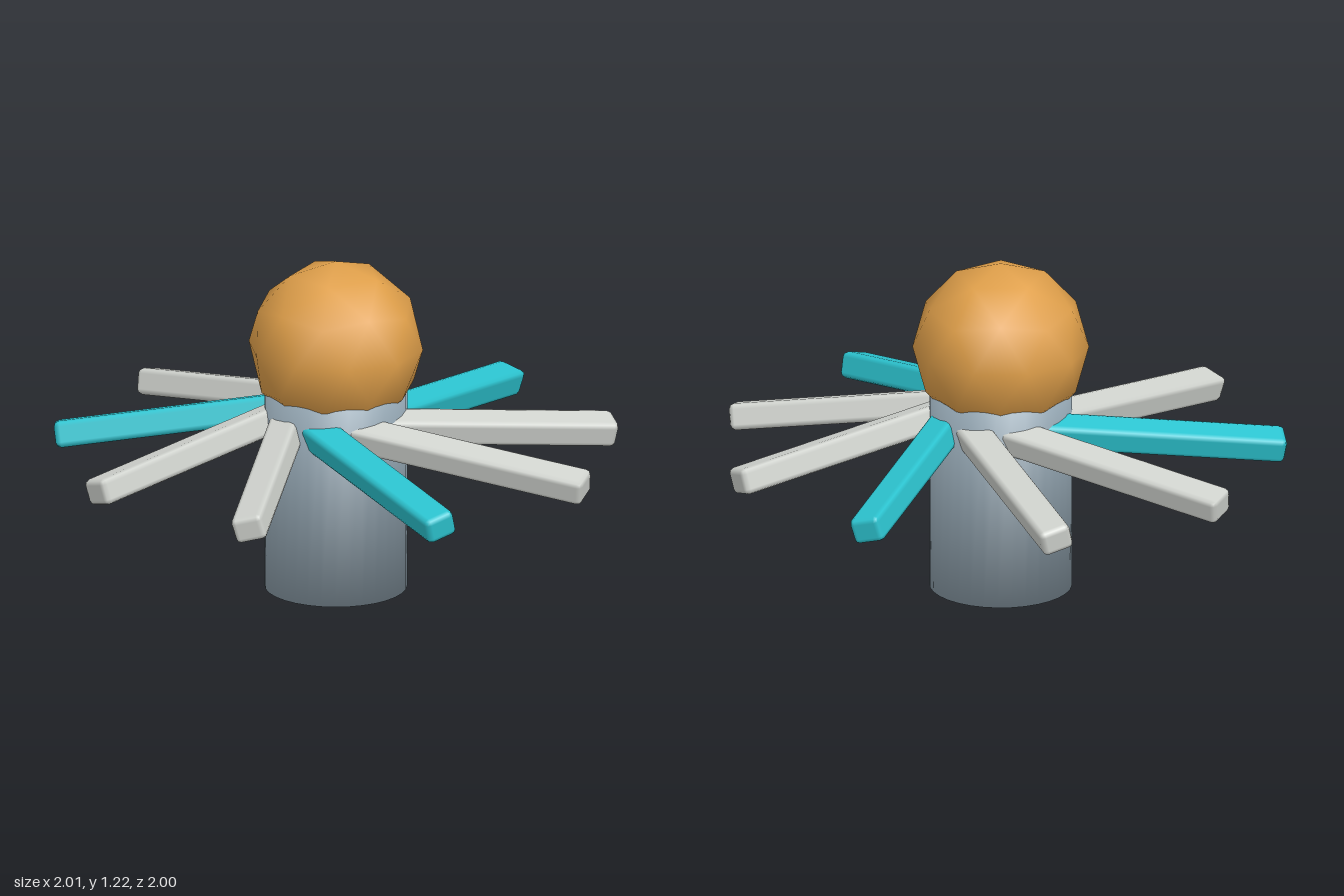
import * as THREE from 'three';
import { RoundedBoxGeometry } from 'three/addons/geometries/RoundedBoxGeometry.js';

const mat = (name, color) => {
  const m = new THREE.MeshStandardMaterial({ color });
  m.name = name;
  return m;
};

export function createModel() {
  const slate = mat('slate grey', 0x91a3af);
  const amber = mat('amber', 0xdf9f4a);
  const pale = mat('pale grey', 0xd0d3ce);
  const teal = mat('teal', 0x2cc4d0);
  const group = new THREE.Group();
  const add = (parent, name, geometry, material) => {
    const mesh = new THREE.Mesh(geometry, material);
    mesh.name = name;
    parent.add(mesh);
    return mesh;
  };

  // everything turns around an axis slightly off the origin
  const hub = new THREE.Group();
  hub.name = 'hub';
  hub.position.set(-0.01, 0, 0.02);
  group.add(hub);

  // post, with normals blended over its rims
  const H = 0.75, R = 0.255;
  const post = new THREE.CylinderGeometry(R, R, H, 32);
  const p = post.attributes.position;
  const n = new THREE.Vector3();
  for (let i = 0; i < p.count; i++) {
    n.set(p.getX(i), Math.sign(p.getY(i)) * R, p.getZ(i)).normalize();
    post.attributes.normal.setXYZ(i, n.x, n.y, n.z);
  }
  add(hub, 'post', post, slate).position.y = H / 2;

  // faceted ball standing on one of its five-fold corners
  const ball = new THREE.IcosahedronGeometry(0.315, 1);
  ball.rotateZ(-Math.atan(2 / (1 + Math.sqrt(5))));
  add(hub, 'ball', ball, amber).position.y = 0.9;

  // nine drooping arms in a pinwheel, every third one teal
  const bar = new RoundedBoxGeometry(0.907, 0.096, 0.116, 1, 0.02);
  for (let i = 0; i < 9; i++) {
    const pivot = new THREE.Group();
    pivot.name = 'armPivot';
    pivot.rotation.y = THREE.MathUtils.degToRad(16.5 + i * 40);
    const arm = add(pivot, 'arm', bar, i % 3 ? pale : teal);
    arm.position.set(0.55, 0.576, 0.154);
    arm.rotation.set(0.26, 0, -0.125, 'ZYX');
    hub.add(pivot);
  }
  return group;
}
